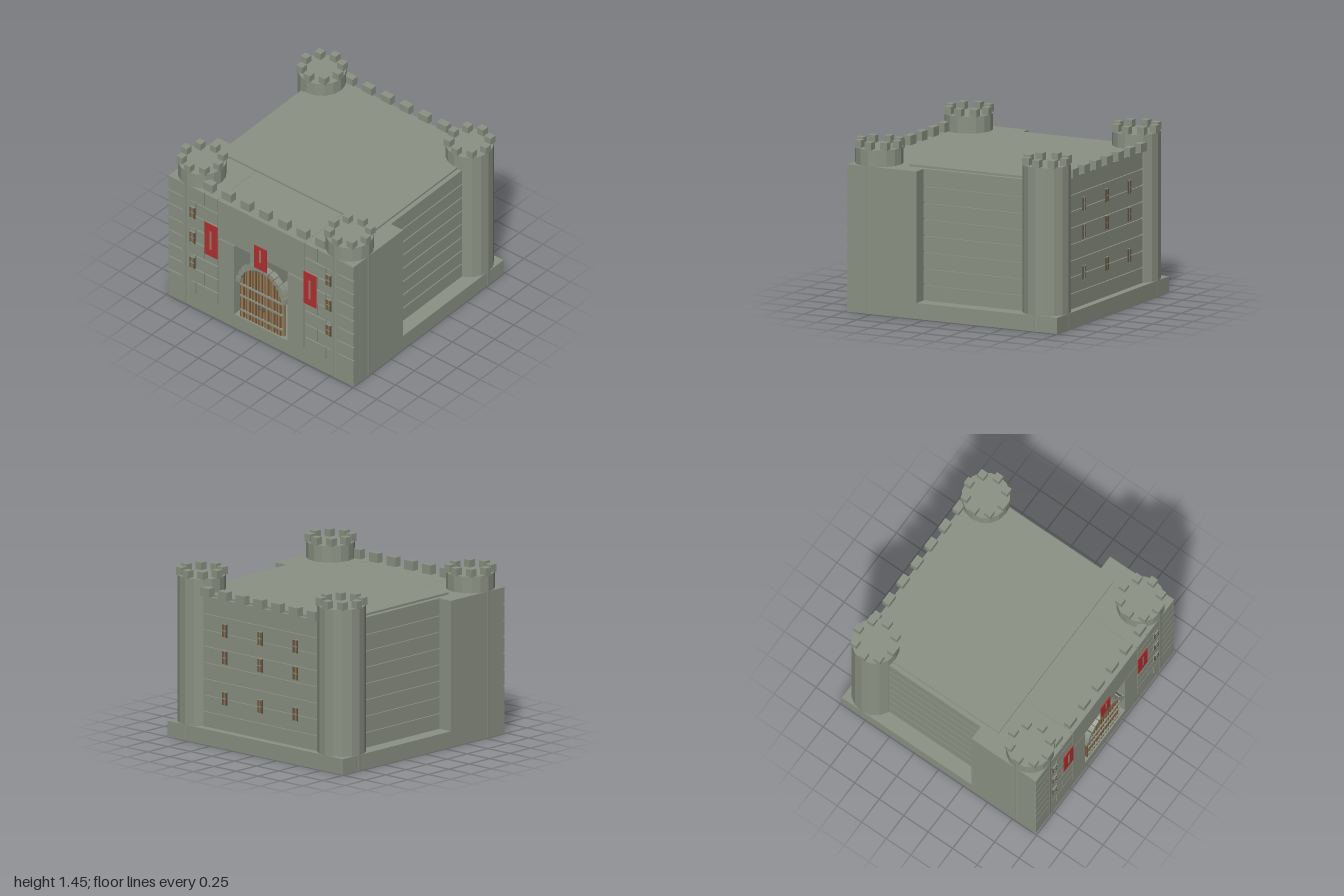
import * as THREE from 'three';

const mat = (name, color) => Object.assign(new THREE.MeshStandardMaterial({ color }), { name });

export function createModel() {
  const stone = mat('stone grey', 0x8b9183);
  const wood = mat('light wood', 0x94805c);
  const darkWood = mat('dark wood', 0x7d593b);
  const red = mat('banner red', 0xb03030);
  const tan = mat('banner emblem', 0x9a7a6c);
  const iron = mat('iron', 0x55564f);

  const model = new THREE.Group();
  model.name = 'castle';
  const add = (name, geo, m, parent = model) => {
    const mesh = new THREE.Mesh(geo, m);
    mesh.name = name;
    parent.add(mesh);
    return mesh;
  };
  // Box given by its limits on each axis
  const box = (name, m, x0, x1, y0, y1, z0, z1, parent) => {
    const mesh = add(name, new THREE.BoxGeometry(x1 - x0, y1 - y0, z1 - z0), m, parent);
    mesh.position.set((x0 + x1) / 2, (y0 + y1) / 2, (z0 + z1) / 2);
    return mesh;
  };
  // The same box on both sides of the model
  const pair = (name, m, x0, x1, ...rest) => {
    box(name, m, x0, x1, ...rest);
    box(name, m, -x1, -x0, ...rest);
  };

  // Base, main body and roof
  box('base', stone, -0.99, 0.99, 0, 0.135, -0.995, 0.985);
  box('body', stone, -0.845, 0.845, 0.135, 1.25, -0.915, 0.33);
  box('roof', stone, -0.82, 0.82, 1.25, 1.268, -0.9, 0.485);

  // Stone courses, separated by narrow grooves
  const courses = 8, rise = (1.25 - 0.135) / courses, gap = 0.012;
  for (let i = 0; i < courses; i++) {
    const y0 = 0.135 + i * rise, y1 = y0 + rise - (i < courses - 1 ? gap : 0);
    pair('sideCourse', stone, 0.845, 0.86, y0, y1, -0.75, 0.33);
    box('backCourse', stone, -0.7, 0.7, y0, y1, -0.93, -0.915);
    const joint = i % 2 ? 0.6 : 0.69;
    pair('frontCourseInner', stone, 0.466, joint, y0, y1, 0.97, 0.985);
    pair('frontCourseOuter', stone, joint + 0.01, 0.99, y0, y1, 0.97, 0.985);
  }

  // Front block around the gate passage
  pair('frontWing', stone, 0.462, 0.99, 0.135, 1.25, 0.33, 0.972);
  box('gateLintel', stone, -0.46, 0.46, 0.86, 1.25, 0.33, 0.985);
  pair('passageWall', stone, 0.29, 0.462, 0.135, 0.86, 0.33, 0.78);
  pair('gatePillar', stone, 0.285, 0.455, 0.135, 0.848, 0.78, 0.985);
  pair('passagePost', stone, 0.23, 0.29, 0.135, 0.73, 0.33, 0.78);
  pair('passageBeam', darkWood, 0.23, 0.29, 0.73, 0.86, 0.33, 0.78);

  // Wall battlements
  for (let i = -3; i <= 3; i++) {
    const x = i * 0.2;
    box('frontMerlon', stone, x - 0.05, x + 0.05, 1.25, 1.33, 0.885, 0.947);
    box('backMerlon', stone, x - 0.05, x + 0.05, 1.255, 1.33, -0.965, -0.9);
  }

  // Corner towers with a ring of eight merlons
  const towerGeo = new THREE.CylinderGeometry(0.203, 0.203, 1.39, 16).toNonIndexed();
  towerGeo.computeVertexNormals();
  for (const x of [-0.79, 0.79]) for (const z of [-0.793, 0.785]) {
    const tower = new THREE.Group();
    tower.name = 'tower';
    tower.position.set(x, 0, z);
    model.add(tower);
    add('towerShaft', towerGeo, stone, tower).position.y = 0.695;
    for (let k = 0; k < 8; k++) {
      const a = k * Math.PI / 4, mx = 0.171 * Math.cos(a), mz = 0.171 * Math.sin(a);
      box('towerMerlon', stone, mx - 0.032, mx + 0.032, 1.385, 1.452, mz - 0.032, mz + 0.032, tower);
    }
  }

  // Arched gate made of upright planks
  const spring = 0.495, radius = 0.23, planks = 14, w = 2 * radius / planks;
  const archY = x => spring + Math.sqrt(Math.max(0, radius * radius - x * x));
  for (let i = 0; i < planks; i++) {
    const x0 = -radius + i * w, x1 = x0 + w * 0.99;
    const s = new THREE.Shape([
      [x0, 0.135], [x1, 0.135], [x1, archY(x1)], [(x0 + x1) / 2, archY((x0 + x1) / 2)], [x0, archY(x0)],
    ].map(p => new THREE.Vector2(...p)));
    const depth = i % 2 ? 0.025 : 0.035;
    add('gatePlank', new THREE.ExtrudeGeometry(s, { depth, bevelEnabled: false }), wood).position.z = 0.935;
    box('plankSeam', darkWood, x0 - 0.005, x0 + 0.005, 0.135, archY(x0) - 0.01, 0.945, 0.973);
  }
  for (const y of [0.21, 0.36, 0.48]) box('gateBar', stone, -0.228, 0.228, y - 0.008, y + 0.008, 0.965, 0.982);
  for (const y of [0.31, 0.34]) pair('gateHandle', iron, 0.018, 0.032, y - 0.006, y + 0.006, 0.965, 0.982);

  // Arch stones
  const stones = 13, step = Math.PI / stones;
  for (let i = 0; i < stones; i++) {
    const a0 = i * step + 0.012, a1 = (i + 1) * step - 0.012;
    const outer = i % 2 ? 0.258 : 0.266;
    const s = new THREE.Shape();
    s.absarc(0, 0, outer, a0, a1, false);
    s.absarc(0, 0, 0.218, a1, a0, true);
    add('archStone', new THREE.ExtrudeGeometry(s, { depth: 0.06, bevelEnabled: false, curveSegments: 2 }), stone)
      .position.set(0, spring, 0.93);
  }

  // Banners
  const banner = (x, hw, y0, y1, e0, e1) => {
    box('banner', red, x - hw, x + hw, y0, y1, 0.985, 0.994);
    box('bannerEmblem', tan, x - 0.009, x + 0.009, e0, e1, 0.993, 0.997);
  };
  banner(-0.53, 0.066, 0.63, 0.96, 0.7, 0.89);
  banner(0.53, 0.066, 0.63, 0.96, 0.7, 0.89);
  banner(0, 0.067, 0.745, 0.975, 0.82, 0.95);

  // Narrow windows with a crossbar and a frame, facing front or back
  const windowAt = (x, y, z, dir) => {
    const g = new THREE.Group();
    g.name = 'window';
    g.position.set(x, y, z);
    if (dir < 0) g.rotation.y = Math.PI;
    model.add(g);
    box('windowPanel', darkWood, -0.022, 0.022, -0.056, 0.056, -0.004, 0.004, g);
    box('windowBar', stone, -0.003, 0.003, -0.056, 0.056, 0, 0.007, g);
    box('windowCrossbar', stone, -0.022, 0.022, -0.004, 0.004, 0, 0.007, g);
    for (const s of [-1, 1]) {
      box('windowJamb', iron, s * 0.024 - 0.002, s * 0.024 + 0.002, -0.06, 0.06, -0.004, 0.007, g);
      box('windowSill', stone, -0.026, 0.026, s * 0.058 - 0.003, s * 0.058 + 0.003, -0.004, 0.008, g);
    }
  };
  for (const y of [0.99, 0.73, 0.465]) for (const x of [-0.728, 0.728]) windowAt(x, y, 0.989, 1);
  for (const y of [0.99, 0.76, 0.41]) for (const x of [-0.4, 0, 0.4]) windowAt(x, y, -0.934, -1);

  return model;
}
